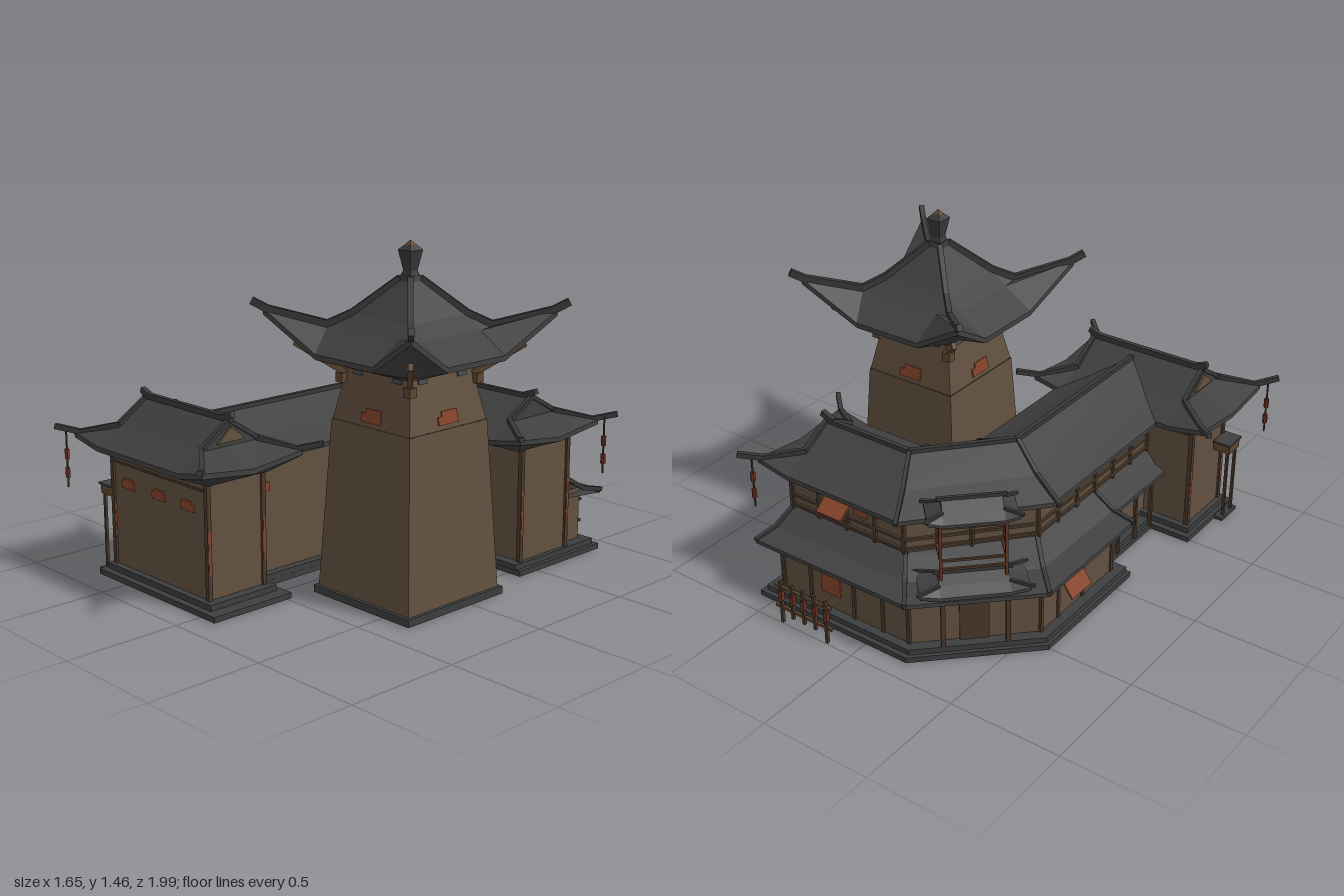
import * as THREE from 'three';

const mat = (name, color, side = THREE.FrontSide) => {
  const m = new THREE.MeshStandardMaterial({ color, side, flatShading: true });
  m.name = name;
  return m;
};
const M = {
  roof: mat('roof tile grey', 0x404040, THREE.DoubleSide),
  trim: mat('ridge grey', 0x383838),
  stone: mat('plinth stone', 0x3c3d3e),
  wall: mat('earth wall', 0x625040, THREE.DoubleSide),
  wood: mat('dark wood', 0x4a382a),
  bracket: mat('bracket wood', 0x5f4631),
  red: mat('painted red', 0x85432a),
  lantern: mat('lantern red', 0x6e3022),
  slate: mat('slate blue', 0x414a50),
};

// Skin a row of cross-sections, each a list of [x, y, z]
function loft(sections) {
  const pos = [];
  for (let i = 0; i + 1 < sections.length; i++) {
    const a = sections[i], b = sections[i + 1];
    for (let j = 0; j + 1 < a.length; j++)
      pos.push(...a[j], ...b[j], ...b[j + 1], ...a[j], ...b[j + 1], ...a[j + 1]);
  }
  const g = new THREE.BufferGeometry();
  g.setAttribute('position', new THREE.Float32BufferAttribute(pos, 3));
  g.computeVertexNormals();
  return g;
}

// Roof section; r, a, b are ridge and two eaves in plan, h = [ridge, mid, eaveTop, eaveBottom, wall]
function section(r, a, b, h, m = 0.55, shift = 0) {
  const at = (e, t, y, dx = 0) => [r[0] + (e[0] - r[0]) * t + dx, y, r[1] + (e[1] - r[1]) * t];
  return [at(a, 0.59, h[4], shift), at(a, 1, h[3]), at(a, 1, h[2]), at(a, m, h[1]), at(a, 0, h[0]),
    at(b, m, h[1]), at(b, 1, h[2]), at(b, 1, h[3]), at(b, 0.59, h[4], shift)];
}

// Gable on a hipped skirt, running from x0 (gable) to x1 (eave)
function hipEnd(x0, x1, z, hw, h, lift = 0.03) {
  const s = (x, hh, m, sh) => section([x, z], [x, z - hw], [x, z + hw], hh, m, sh);
  const wx = (x0 - x1) * 0.62;
  const E = s(x0, [h[1], h[1], h[2], h[3], h[4]]);
  const F = s(x1, [h[2], h[2] + lift, h[2] + lift, h[3] + lift, h[4]], 1, wx);
  const low = [x1, h[3], z], inn = [x1 + wx, h[4], z];
  const G = F.map((p, i) => (i === 0 || i === 8 ? p : i < 4 ? F[1] : i > 4 ? F[7] : low));
  const H = F.map((p, i) => (i < 4 ? F[0] : i > 4 ? F[8] : inn));
  return [E, F, G, H];
}
function hipRoof([x0, x1, x2, x3], z, hw, h, lift) {
  const s = x => section([x, z], [x, z - hw], [x, z + hw], h);
  return loft([...hipEnd(x1, x0, z, hw, h, lift).reverse(), s(x1), s(x2), ...hipEnd(x2, x3, z, hw, h, lift)]);
}

function put(parent, name, geo, m, x = 0, y = 0, z = 0) {
  const mesh = new THREE.Mesh(geo, m);
  mesh.name = name;
  mesh.position.set(x, y, z);
  parent.add(mesh);
  return mesh;
}
const block = (g, name, m, x0, x1, y0, y1, z0, z1) =>
  put(g, name, new THREE.BoxGeometry(x1 - x0, y1 - y0, z1 - z0), m, (x0 + x1) / 2, (y0 + y1) / 2, (z0 + z1) / 2);
function beam(g, name, m, p, q, w, h = w) {
  const a = new THREE.Vector3(...p), b = new THREE.Vector3(...q);
  const mesh = new THREE.Mesh(new THREE.BoxGeometry(w, h, a.distanceTo(b) + w * 0.4), m);
  mesh.name = name;
  mesh.position.copy(a).lerp(b, 0.5);
  mesh.lookAt(b);
  g.add(mesh);
}
const run = (g, name, m, pts, w, h) => pts.slice(1).forEach((q, i) => beam(g, name, m, pts[i], q, w, h));

// Plan outlines: hollow walls and plinths with an open middle
const rect = (x0, x1, z0, z1) => [[x0, z0], [x1, z0], [x1, z1], [x0, z1]];
const walls = (g, name, plan, y0, y1) =>
  put(g, name, loft([y0, y1].map(y => plan.map(([x, z]) => [x, y, z]))), M.wall);
function plinth(g, name, plan, hole, y0, y1) {
  const v = p => p.map(([x, z]) => new THREE.Vector2(x, -z));
  const shape = new THREE.Shape(v(plan));
  shape.holes.push(new THREE.Path(v(hole)));
  const geo = new THREE.ExtrudeGeometry(shape, { depth: y1 - y0, bevelEnabled: false });
  put(g, name, geo.rotateX(-Math.PI / 2), M.stone, 0, y0, 0);
}
function plate(g, name, m, p, ry, w, h, rx = 0) {
  const mesh = put(g, name, new THREE.BoxGeometry(w, h, 0.009), m, ...p);
  mesh.rotation.set(rx, ry, 0, 'YXZ');
}

function tower() {
  const g = new THREE.Group();
  g.name = 'tower';
  g.position.set(0.37, 0, 0.09);
  const taper = (name, m, rt, rb, y0, y1, open = false) => put(g, name,
    new THREE.CylinderGeometry(rt * Math.SQRT2, rb * Math.SQRT2, y1 - y0, 4, 1, open).rotateY(Math.PI / 4), m, 0, (y0 + y1) / 2, 0);
  plinth(g, 'tower plinth', rect(-0.274, 0.274, -0.274, 0.274), rect(-0.255, 0.255, -0.255, 0.255), 0, 0.032);
  taper('tower lower wall', M.wall, 0.22, 0.26, 0.02, 0.74, true);
  taper('tower upper wall', M.wall, 0.173, 0.217, 0.74, 0.96);

  // Square roof with upswept corners
  const ring = (c, yc, k, m, ym) => {
    const pts = [];
    for (let i = 0; i < 4; i++)
      for (const [x, y, z] of [[-c, yc, c], [-k, ym, m], [k, ym, m]]) {
        const s = Math.sin(i * Math.PI / 2), q = Math.cos(i * Math.PI / 2);
        pts.push([x * q + z * s, y, z * q - x * s]);
      }
    return [...pts, pts[0]];
  };
  put(g, 'tower roof', loft([ring(0.035, 1.3, 0.035, 0.035, 1.3), ring(0.16, 1.165, 0.16, 0.16, 1.165),
    ring(0.23, 1.118, 0.16, 0.23, 1.11), ring(0.41, 1.185, 0.16, 0.36, 1.03),
    ring(0.41, 1.16, 0.16, 0.36, 1.008), ring(0.19, 0.965, 0.12, 0.19, 0.955), ring(0.16, 0.95, 0.1, 0.16, 0.95)]), M.roof);

  for (let i = 0; i < 4; i++) {
    const s = new THREE.Group();
    s.name = 'towerSide';
    s.rotation.y = i * Math.PI / 2;
    g.add(s);
    run(s, 'tower hip ridge', M.trim, [[0.03, 1.305, 0.03], [0.16, 1.17, 0.16], [0.23, 1.125, 0.23],
      [0.4, 1.185, 0.4], [0.44, 1.215, 0.44]], 0.022, 0.03);
    beam(s, 'corner bracket', M.bracket, [0.18, 0.93, 0.18], [0.32, 1.05, 0.32], 0.02, 0.028);
    block(s, 'bracket block', M.bracket, 0.17, 0.208, 0.89, 0.93, 0.17, 0.208);
    block(s, 'tower top beam', M.wood, -0.18, 0.18, 0.95, 0.963, 0.165, 0.185);
    for (const x of [-0.11, 0.11]) plate(s, 'eave ornament', M.slate, [x, 0.938, 0.179], 0, 0.05, 0.018, -0.2);
    plate(s, 'tower wall vent', M.red, [0, 0.775, 0.211], 0, 0.11, 0.034, -0.2);
    plate(s, 'tower wall vent top', M.red, [0.01, 0.799, 0.2062], 0, 0.085, 0.026, -0.2);
  }
  // Finial
  taper('finial base', M.trim, 0.03, 0.042, 1.285, 1.32);
  taper('finial neck', M.trim, 0.02, 0.026, 1.32, 1.34);
  taper('finial vase', M.trim, 0.035, 0.02, 1.34, 1.42);
  taper('finial cap', M.trim, 0.016, 0.035, 1.42, 1.44);
  taper('finial tip', M.bracket, 0.001, 0.016, 1.44, 1.458);
  return g;
}

// Ridge beams and corner hips for one gabled end
function endRidges(g, x0, x1, z, hw, h) {
  const out = Math.sign(x1 - x0);
  for (const s of [-1, 1]) {
    run(g, 'gable ridge', M.trim, [[x0, h[0] + 0.003, z], [x0, h[1] + 0.01, z + s * hw * 0.55]], 0.02, 0.018);
    run(g, 'corner hip', M.trim, [[x0, h[1] + 0.008, z + s * hw * 0.55], [x1 - out * 0.02, h[2] + 0.033, z + s * hw * 0.94],
      [x1 + out * 0.055, h[2] + 0.055, z + s * (hw + 0.055)]], 0.02, 0.022);
  }
  run(g, 'ridge end', M.trim, [[x0 - out * 0.03, h[0] + 0.01, z], [x0 + out * 0.02, h[0] + 0.028, z]], 0.022, 0.024);
}

function frontHall() {
  const g = new THREE.Group(), h = [0.755, 0.655, 0.59, 0.568, 0.53];
  g.name = 'frontHall';
  put(g, 'front hall roof', hipRoof([-0.76, -0.6, -0.05, 0.1], 0.675, 0.255, h), M.roof);
  beam(g, 'front hall ridge', M.trim, [-0.61, 0.764, 0.675], [-0.04, 0.764, 0.675], 0.022, 0.024);
  endRidges(g, -0.6, -0.76, 0.675, 0.255, h);
  endRidges(g, -0.05, 0.1, 0.675, 0.255, h);
  // Earth-coloured gable triangles
  const tri = new THREE.Shape([[-0.07, 0.675], [0.07, 0.675], [0, 0.735]].map(p => new THREE.Vector2(...p)));
  for (const x of [-0.615, -0.044])
    put(g, 'gable panel', new THREE.ExtrudeGeometry(tri, { depth: 0.009, bevelEnabled: false }).rotateY(Math.PI / 2), M.wall, x, 0, 0.675);

  plinth(g, 'front hall plinth', rect(-0.69, 0.09, 0.48, 0.88), rect(-0.67, 0.03, 0.51, 0.85), 0.001, 0.025);
  plinth(g, 'front hall step', rect(-0.67, 0.03, 0.51, 0.85), rect(-0.64, -0.02, 0.545, 0.815), 0.024, 0.05);
  const plan = rect(-0.645, -0.015, 0.54, 0.82);
  walls(g, 'front hall wall', [...plan, plan[0]], 0.03, 0.54);
  for (const x of [-0.645, -0.015]) for (const z of [0.54, 0.82]) {
    block(g, 'corner post', M.wood, x - 0.01, x + 0.01, 0.05, 0.54, z - 0.01, z + 0.01);
    block(g, 'post panel', M.red, x - 0.011, x + 0.011, 0.16, 0.34, z - 0.006, z + 0.006);
  }
  for (const z of [0.54, 0.82]) block(g, 'wall head beam', M.wood, -0.645, -0.015, 0.495, 0.505, z - 0.004, z + 0.004);
  for (const x of [-0.54, -0.33, -0.14]) {
    plate(g, 'wall vent', M.red, [x, 0.412, 0.822], 0, 0.085, 0.03);
    plate(g, 'wall vent top', M.red, [x, 0.43, 0.822], 0, 0.066, 0.02);
  }
  // Side awning on posts
  block(g, 'awning', M.bracket, -0.73, -0.65, 0.34, 0.382, 0.74, 0.83);
  block(g, 'awning cap', M.roof, -0.735, -0.65, 0.382, 0.39, 0.73, 0.84);
  block(g, 'awning plinth', M.stone, -0.73, -0.69, 0.0, 0.015, 0.72, 0.85);
  for (const z of [0.75, 0.82]) block(g, 'awning post', M.wood, -0.722, -0.71, 0.01, 0.34, z - 0.006, z + 0.006);
  return g;
}

function wing() {
  const g = new THREE.Group(), h = [0.73, 0.645, 0.587, 0.567, 0.53];
  g.name = 'bentWing';
  // Upper roof following the bent ridge
  const B = [[-0.27, -0.24], [-0.01, -0.15], [-0.53, -0.36]], C = [[0.02, -0.57], [0.13, -0.315], [-0.12, -0.825]];
  put(g, 'wing roof', loft([section([-0.27, 0.64], [-0.01, 0.58], [-0.53, 0.58], h), section(...B, h), section(...C, h),
    section([0.45, -0.57], [0.45, -0.315], [0.45, -0.825], h), ...hipEnd(0.45, 0.61, -0.57, -0.255, h)]), M.roof);
  run(g, 'wing ridge', M.trim, [[-0.27, 0.732, 0.63], [-0.27, 0.732, -0.24], [0.02, 0.732, -0.57], [0.45, 0.732, -0.57]], 0.02, 0.02);
  endRidges(g, 0.45, 0.61, -0.57, 0.255, h);
  for (const [r, a, b] of [B, C]) for (const [e, k] of [[a, 1], [b, 1.16]]) {
    const at = (t, y) => [r[0] + (e[0] - r[0]) * t, y, r[1] + (e[1] - r[1]) * t];
    run(g, 'bend ridge', M.trim, [at(0, 0.735), at(0.55, 0.652), at(k, k > 1 ? 0.605 : 0.592)], 0.016);
  }
  // Walls and two-step plinth
  walls(g, 'wing wall', [[-0.423, 0.54], [-0.423, -0.311], [-0.063, -0.717], [0.53, -0.717], [0.53, -0.42],
    [0.085, -0.417], [-0.117, -0.187], [-0.117, 0.54]], 0.02, 0.54);
  const base = [[0.57, -0.91], [-0.21, -0.91], [-0.62, -0.51], [-0.62, 0.11], [-0.5, 0.11], [-0.5, 0.5],
    [-0.08, 0.5], [-0.08, -0.17], [0.1, -0.38], [0.57, -0.38]];
  const hole = [[0.5, -0.845], [-0.18, -0.845], [-0.555, -0.48], [-0.555, 0.04], [-0.42, 0.04], [-0.42, 0.465],
    [-0.12, 0.465], [-0.12, -0.19], [0.08, -0.42], [0.5, -0.42]];
  plinth(g, 'wing plinth', base, hole, 0.002, 0.026);
  plinth(g, 'wing step', base.map(([x, z]) => [x * 0.97 - 0.003, z * 0.97 - 0.006]), hole, 0.026, 0.05);
  walls(g, 'lower storey', [[0.5, -0.71], [0.5, -0.85], [-0.18, -0.85], [-0.56, -0.48], [-0.56, 0.05], [-0.42, 0.05]], 0.025, 0.285);

  // Pent roof round the outer side
  const pent = (w, e) => {
    const at = (t, y) => [w[0] + (e[0] - w[0]) * t, y, w[1] + (e[1] - w[1]) * t];
    return [at(0, 0.365), at(0.5, 0.3), at(1, 0.28), at(1, 0.262), at(0.6, 0.265), at(0, 0.265), at(0, 0.365)];
  };
  const inner = [[0.53, -0.71], [-0.06, -0.71], [-0.42, -0.31], [-0.42, 0.11]];
  const outer = [[0.57, -0.91], [-0.21, -0.91], [-0.62, -0.51], [-0.62, 0.11]];
  put(g, 'pent roof', loft(inner.map((w, i) => pent(w, outer[i]))), M.roof);
  for (let i = 0; i < 4; i++) run(g, 'pent ridge', M.trim, pent(inner[i], outer[i]).slice(0, 3), 0.018);
  put(g, 'gallery roof', loft([0.11, 0.54].map(z => pent([-0.42, z], [-0.52, z]))), M.roof);
  for (const z of [0.2, 0.34, 0.47]) block(g, 'gallery post', M.wood, -0.505, -0.49, 0.025, 0.27, z - 0.007, z + 0.007);

  // Upper gallery: posts, rails and red panels along each outer wall
  const line = [[0.53, -0.722], [-0.064, -0.722], [-0.428, -0.312], [-0.428, 0.53]];
  line.slice(1).forEach((q, s) => {
    const p = line[s], dx = q[0] - p[0], dz = q[1] - p[1], ry = Math.atan2(dz, -dx), n = Math.round(Math.hypot(dx, dz) / 0.14);
    for (const y of [0.38, 0.425, 0.525]) beam(g, 'gallery rail', M.wood, [p[0], y, p[1]], [q[0], y, q[1]], 0.012);
    for (let i = 0; i <= n; i++) {
      const x = p[0] + dx * i / n, z = p[1] + dz * i / n;
      block(g, 'gallery column', M.wood, x - 0.007, x + 0.007, 0.36, 0.54, z - 0.007, z + 0.007);
      if (i < n && i % 3 === 2) plate(g, 'gallery panel', M.red, [x + dx / n / 2, 0.472, z + dz / n / 2], ry, 0.07, 0.04);
    }
  });
  // Posts, vents and door on the plain walls
  for (const [x, z] of [[0.53, -0.42], [0.53, -0.717], [0.085, -0.417], [-0.117, -0.187]])
    block(g, 'wing post', M.wood, x - 0.01, x + 0.01, 0.03, 0.54, z - 0.01, z + 0.01);
  for (const z of [-0.42, -0.717]) block(g, 'post panel', M.red, 0.53, 0.542, 0.16, 0.36, z - 0.006, z + 0.006);
  plate(g, 'wing vent', M.red, [-0.115, 0.42, 0.46], Math.PI / 2, 0.08, 0.04);
  for (const t of [0.28, 0.78]) plate(g, 'wing vent', M.red, [-0.115 + 0.202 * t, 0.42, -0.185 - 0.23 * t], 0.85, 0.06, 0.04);
  plate(g, 'back door', M.red, [0.22, 0.17, -0.852], 0, 0.1, 0.1);
  for (const x of [0.48, 0.33, 0.1, -0.05, -0.18]) block(g, 'lower post', M.wood, x - 0.008, x + 0.008, 0.03, 0.27, -0.857, -0.845);
  for (const z of [-0.48, -0.36, -0.18, 0.04]) block(g, 'lower post', M.wood, -0.567, -0.555, 0.03, 0.27, z - 0.008, z + 0.008);
  // Propped shutters
  plate(g, 'propped shutter', M.red, [0.27, 0.47, -0.758], Math.PI, 0.13, 0.085, -0.95);
  plate(g, 'propped shutter', M.red, [-0.59, 0.2, -0.28], -Math.PI / 2, 0.14, 0.11, -0.6);
  beam(g, 'shutter prop', M.wood, [0.22, 0.4, -0.722], [0.22, 0.45, -0.79], 0.006);

  // Two-tier porch on the diagonal
  const porch = new THREE.Group();
  porch.name = 'porch';
  porch.position.set(-0.37, 0, -0.67);
  porch.rotation.y = -2.36;
  g.add(porch);
  const tier = (name, xs, z, hw, hh) => {
    put(porch, name, hipRoof(xs, z, hw, hh, 0.015), M.roof);
    beam(porch, 'porch ridge', M.trim, [xs[1] - 0.015, hh[0] + 0.003, z], [xs[2] + 0.015, hh[0] + 0.003, z], 0.014);
    for (const s of [-1, 1]) for (const k of [-1, 1])
      beam(porch, 'porch hip', M.trim, [s * xs[2], hh[1], z + k * hw * 0.55], [s * (xs[3] + 0.01), hh[2] + 0.02, z + k * hw], 0.012);
  };
  tier('porch upper roof', [-0.18, -0.12, 0.12, 0.18], -0.05, 0.08, [0.685, 0.65, 0.615, 0.602, 0.59]);
  tier('porch lower roof', [-0.22, -0.14, 0.14, 0.22], -0.03, 0.09, [0.36, 0.33, 0.3, 0.285, 0.27]);
  for (const x of [-0.13, 0.13]) {
    block(porch, 'porch pillar', M.wood, x - 0.009, x + 0.009, 0.03, 0.3, 0.025, 0.043);
    block(porch, 'porch upper pillar', M.lantern, x - 0.006, x + 0.006, 0.32, 0.6, -0.012, 0);
    beam(porch, 'porch side rail', M.wood, [x, 0.43, -0.006], [x, 0.43, -0.12], 0.01);
  }
  for (const y of [0.39, 0.43, 0.58]) beam(porch, 'porch rail', M.wood, [-0.13, y, -0.006], [0.13, y, -0.006], 0.01);
  block(porch, 'porch door', M.wood, -0.06, 0.06, 0.03, 0.22, -0.004, 0.004);
  return g;
}

// Hanging lantern strings and the free-standing rack
function extras() {
  const g = new THREE.Group();
  g.name = 'yardDetails';
  for (const [x, z] of [[-0.785, 0.955], [0.635, -0.835]]) {
    block(g, 'lantern cord', M.wood, x - 0.003, x + 0.003, 0.38, 0.63, z - 0.003, z + 0.003);
    for (const y of [0.525, 0.445])
      put(g, 'lantern', new THREE.CylinderGeometry(0.011, 0.011, 0.042, 6), M.lantern, x, y, z);
  }
  for (const y of [0.07, 0.17]) block(g, 'rack rail', M.bracket, 0.1, 0.4, y, y + 0.012, -0.996, -0.984);
  for (let i = 0; i < 5; i++) {
    const x = 0.13 + i * 0.06;
    block(g, 'rack post', M.wood, x - 0.006, x + 0.006, i % 4 ? 0.04 : 0, 0.205, -0.997, -0.983);
    block(g, 'rack tag', M.lantern, x - 0.01, x + 0.01, 0.11, 0.155, -0.998, -0.982);
  }
  return g;
}

export function createModel() {
  const g = new THREE.Group();
  g.name = 'courtyardHouse';
  g.add(tower(), frontHall(), wing(), extras());
  return g;
}
